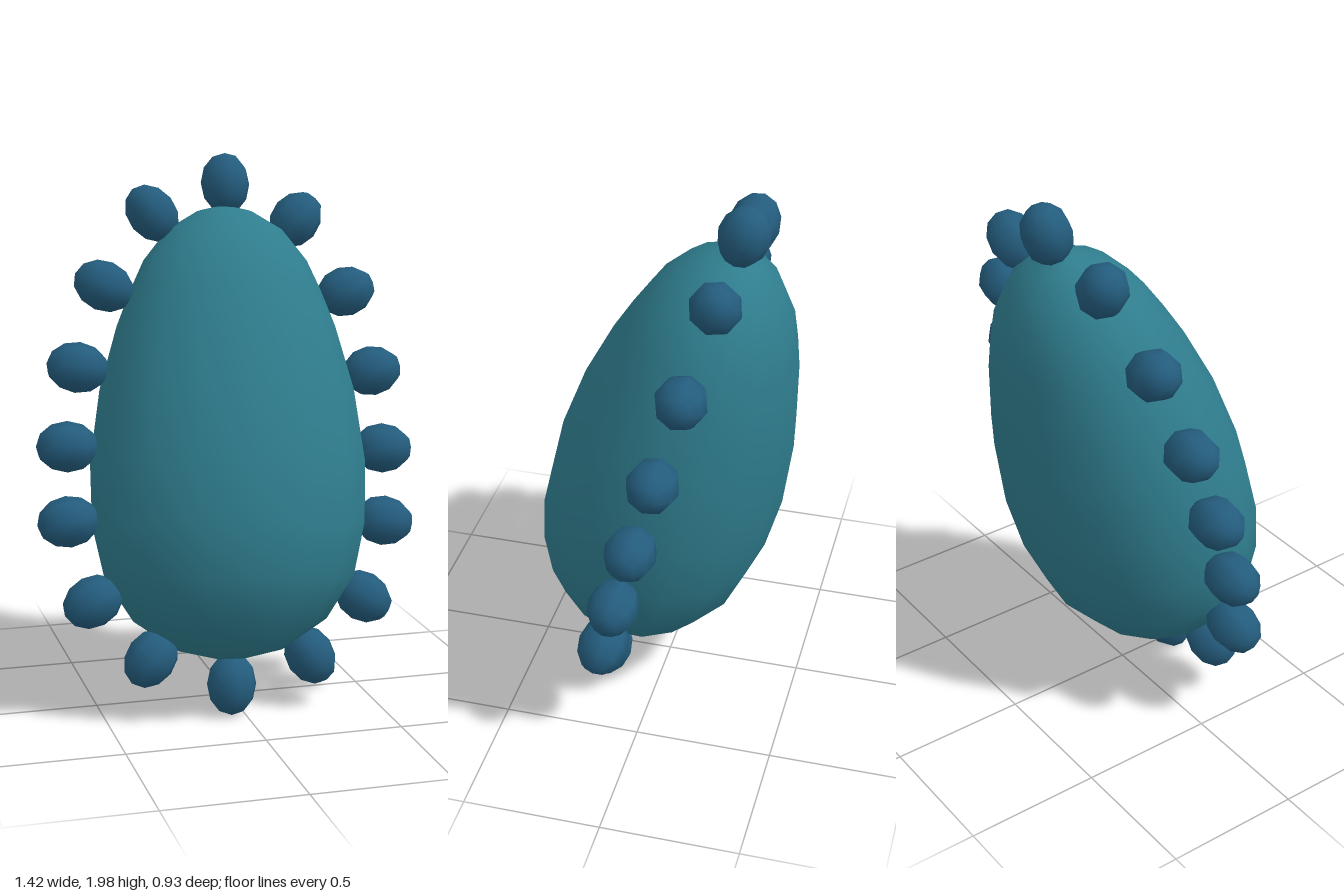
import * as THREE from 'three';

export function createModel() {
  const model = new THREE.Group();
  model.name = 'studdedEgg';
  const teal = new THREE.MeshStandardMaterial({ color: 0x2f7d8e });
  teal.name = 'teal';
  const blue = new THREE.MeshStandardMaterial({ color: 0x245d7e });
  blue.name = 'deep blue';

  // Everything leans back together
  const tilt = 0.258;
  const leaning = new THREE.Group();
  leaning.name = 'leaningBody';
  leaning.position.set(0, 1, -0.032);
  leaning.rotation.x = -tilt;
  model.add(leaning);

  // Egg body: lathe profile [radius, height], widened across x
  const profile = [
    [0, -0.825], [0.16, -0.782], [0.299, -0.672], [0.386, -0.515], [0.422, -0.325],
    [0.426, -0.1], [0.395, 0.16], [0.341, 0.388], [0.298, 0.52], [0.256, 0.63],
    [0.18, 0.747], [0.088, 0.815], [0, 0.843],
  ].map(([r, y]) => new THREE.Vector2(r, y));
  const body = new THREE.Mesh(new THREE.LatheGeometry(profile, 16), teal);
  body.name = 'eggBody';
  body.scale.x = 1.195;
  body.position.x = 0.005;
  body.rotation.z = -0.055;
  leaning.add(body);

  // Ring of studs around the rim: [x, y, outward angle in degrees]
  const studs = [
    [0.06, 1.89, 87], [0.32, 1.755, 45], [0.495, 1.49, 15], [0.575, 1.2, 7],
    [0.595, 0.92, -3], [0.58, 0.66, -10], [0.48, 0.395, -32], [0.26, 0.205, -59],
    [-0.042, 0.128, 266], [-0.333, 0.24, 228], [-0.53, 0.45, 203], [-0.6, 0.73, 184],
    [-0.587, 0.988, 177], [-0.532, 1.26, 170], [-0.417, 1.54, 155], [-0.222, 1.79, 127],
  ];
  const studGeometry = new THREE.SphereGeometry(1, 8, 6);
  const ring = new THREE.Group();
  ring.name = 'studRing';
  studs.forEach(([x, y, angle], i) => {
    const stud = new THREE.Mesh(studGeometry, blue);
    stud.name = `stud${i + 1}`;
    stud.position.set(x, (y - 1) / Math.cos(tilt), 0);
    stud.scale.set(0.092, 0.113, 0.092);
    stud.rotation.z = THREE.MathUtils.degToRad(angle - 90);
    ring.add(stud);
  });
  leaning.add(ring);

  return model;
}
